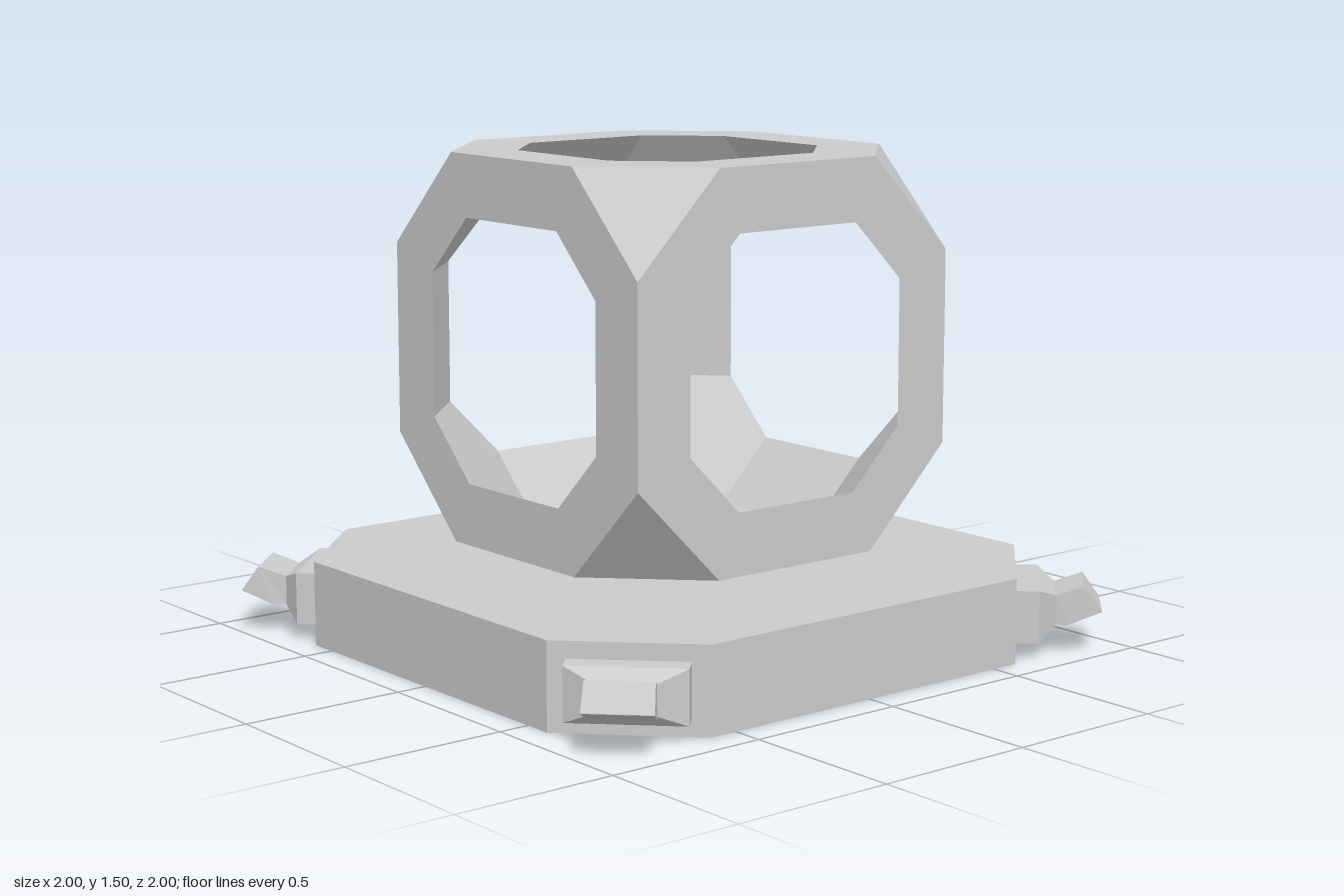
import * as THREE from 'three';
import { mergeGeometries } from 'three/addons/utils/BufferGeometryUtils.js';

const material = new THREE.MeshStandardMaterial({
  color: 0xcccccc, flatShading: true, side: THREE.DoubleSide,
});

// Flat convex polygon, turned so that its front looks along `out`
function poly(points, out) {
  const p = points.map((q) => new THREE.Vector3(...q));
  const n = p[1].clone().sub(p[0]).cross(p[2].clone().sub(p[0]));
  if (n.dot(new THREE.Vector3(...out)) < 0) p.reverse();
  const pos = [];
  for (let i = 1; i < p.length - 1; i++) {
    for (const v of [p[0], p[i], p[i + 1]]) pos.push(v.x, v.y, v.z);
  }
  const g = new THREE.BufferGeometry();
  g.setAttribute('position', new THREE.Float32BufferAttribute(pos, 3));
  g.computeVertexNormals();
  return g;
}

// Points of a square of half size h whose chamfers start at c
const octagon = (h, c) => [[h, c], [c, h], [-c, h], [-h, c], [-h, -c], [-c, -h], [c, -h], [h, -c]]
  .map(([x, y]) => new THREE.Vector2(x, y));

function flatWithHole(outer, inner) {
  const shape = new THREE.Shape(outer);
  shape.holes.push(new THREE.Path(inner));
  return new THREE.ShapeGeometry(shape);
}

function mesh(geometry, name) {
  const m = new THREE.Mesh(geometry, material);
  m.name = name;
  return m;
}

// ---- Cube frame: outer half size H, opening half size R, chamfer starts ----
const H = 0.587, HC = 0.293, R = 0.399, RC = 0.22, CENTER_Y = 0.917;
const SIGNS = [-1, 1];

function cubeFrame() {
  const group = new THREE.Group();
  group.name = 'cubeFrame';

  // six faces with octagonal openings
  const face = flatWithHole(octagon(H, HC), octagon(R, RC)).translate(0, 0, H);
  for (let i = 0; i < 4; i++) {
    const side = mesh(face, 'frameSide');
    side.rotation.y = i * Math.PI / 2;
    group.add(side);
  }
  for (const s of SIGNS) {
    const cap = mesh(face, s < 0 ? 'frameTop' : 'frameBottom');
    cap.rotation.x = s * Math.PI / 2;
    group.add(cap);
  }

  // cut corners: triangle outside, hexagon inside
  const outer = [], inner = [];
  for (const x of SIGNS) for (const y of SIGNS) for (const z of SIGNS) {
    const place = ([a, b, c]) => [a * x, b * y, c * z];
    outer.push(poly([[H, H, HC], [H, HC, H], [HC, H, H]].map(place), [x, y, z]));
    inner.push(poly([
      [R, RC, H], [RC, R, H], [RC, H, R], [R, H, RC], [H, R, RC], [H, RC, R],
    ].map(place), [-x, -y, -z]));
  }

  // slanted inner faces of the twelve bars, between neighbouring openings
  for (const a of SIGNS) for (const b of SIGNS) for (let axis = 0; axis < 3; axis++) {
    const turn = ([u, v, w]) => [[u, v, w], [w, u, v], [v, w, u]][axis];
    inner.push(poly([
      [a * R, b * H, -RC], [a * R, b * H, RC], [a * H, b * R, RC], [a * H, b * R, -RC],
    ].map(turn), turn([-a, -b, 0])));
  }
  group.add(mesh(mergeGeometries(outer), 'frameCorners'));
  group.add(mesh(mergeGeometries(inner), 'frameInside'));
  group.position.y = CENTER_Y;
  return group;
}

// ---- Base: hollow tray, open underneath ----
const B = 0.906, BC = 0.588, BASE_H = 0.26;
const CUT = (B + BC) / Math.SQRT2;        // distance of the corner walls
const CUT_W = (B - BC) / Math.SQRT2;      // half width of the corner walls
const PW = 0.172, P0 = 0.05, P1 = 0.21;   // corner opening: half width, bottom, top

const rect = (w, y0, y1) => [[-w, y0], [w, y0], [w, y1], [-w, y1]]
  .map(([x, y]) => new THREE.Vector2(x, y));

// Hollow hooked connector pointing along +z
function connector() {
  // half width, then bottom [z, y] and top [z, y] of each section
  const sections = [
    [PW, [CUT, P0], [CUT, P1]],
    [PW, [1.126, P0], [1.126, P1]],
    [0.09, [1.177, 0.09], [1.177, 0.18]],
    [0.096, [1.215, 0.09], [1.262, P1]],
    [0.099, [1.315, 0.133], [1.315, 0.135]],
  ].map(([w, [z0, y0], [z1, y1]]) => [[-w, y0, z0], [w, y0, z0], [w, y1, z1], [-w, y1, z1]]);
  const outs = [[0, -1, 0], [1, 0, 0], [0, 1, 0], [-1, 0, 0]];
  const parts = [];
  for (let s = 0; s < sections.length - 1; s++) {
    const a = sections[s], b = sections[s + 1];
    for (let i = 0; i < 4; i++) {
      const j = (i + 1) % 4;
      parts.push(poly([a[i], a[j], b[j], b[i]], outs[i]));
    }
  }
  parts.push(poly(sections.at(-1), [0, 0, 1]));
  return mergeGeometries(parts);
}

function base() {
  const group = new THREE.Group();
  group.name = 'base';
  const top = new THREE.ShapeGeometry(new THREE.Shape(octagon(B, BC)));
  group.add(mesh(top.rotateX(-Math.PI / 2).translate(0, BASE_H, 0), 'baseTop'));

  const wall = poly([[-BC, 0, B], [BC, 0, B], [BC, BASE_H, B], [-BC, BASE_H, B]], [0, 0, 1]);
  const cornerWall = flatWithHole(rect(CUT_W, 0, BASE_H), rect(PW, P0, P1)).translate(0, 0, CUT);
  const hook = connector();
  for (let i = 0; i < 4; i++) {
    const side = mesh(wall, 'baseWall');
    side.rotation.y = i * Math.PI / 2;
    const corner = new THREE.Group();
    corner.name = 'baseCorner';
    corner.add(mesh(cornerWall, 'cornerWall'), mesh(hook, 'connector'));
    corner.rotation.y = (i + 0.5) * Math.PI / 2;
    group.add(side, corner);
  }
  return group;
}

export function createModel() {
  const model = new THREE.Group();
  model.name = 'cubeFrameOnBase';
  model.add(base(), cubeFrame());
  return model;
}
